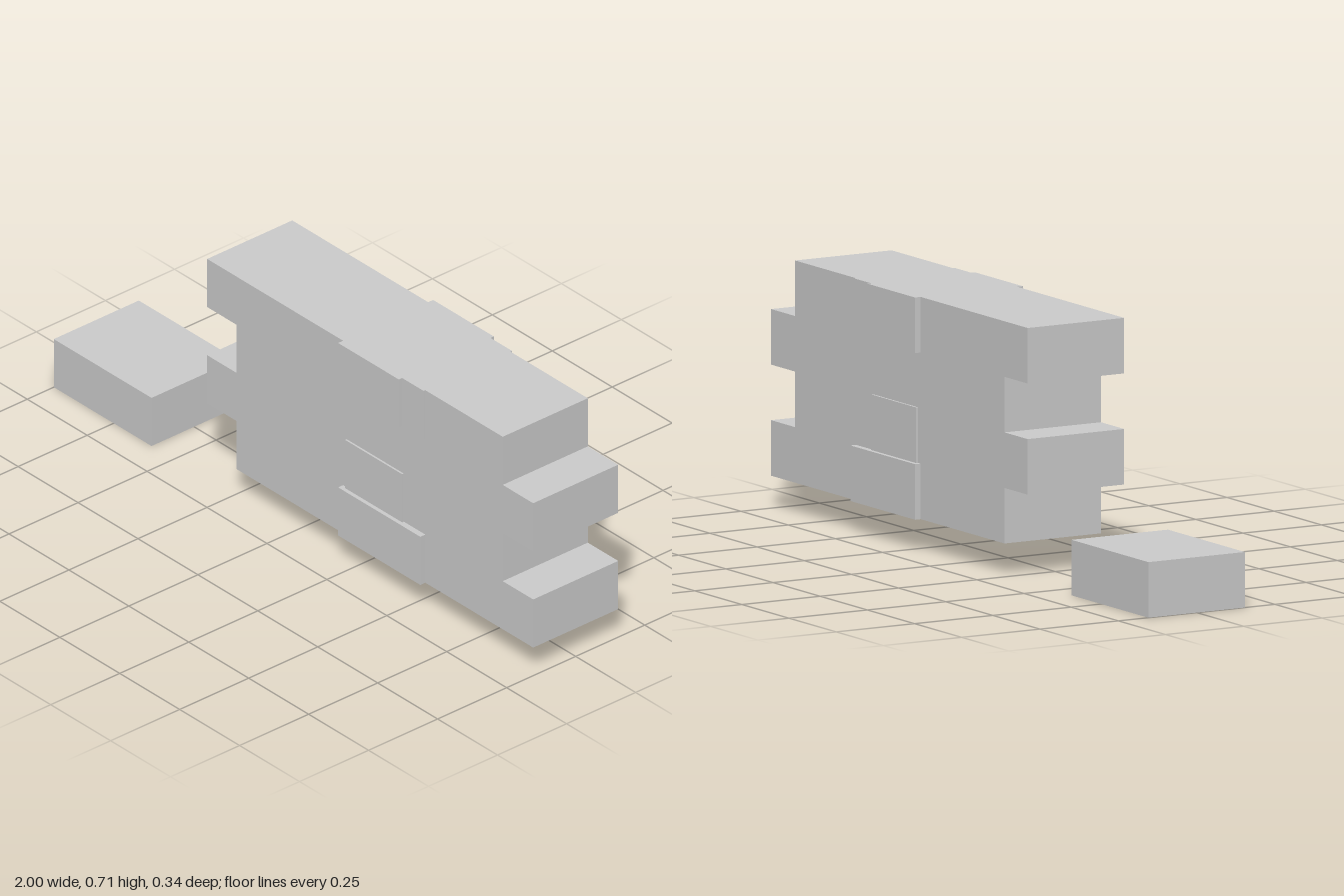
import * as THREE from 'three';

const material = new THREE.MeshStandardMaterial({ color: 0xcccccc, flatShading: true });

const ROW = 0.1543;     // height of one brick course
const BASE = 0.09;      // bottom of the wall piece
const HALF = 0.154;     // half of the wall thickness

// Box given by its limits on each axis
function block(name, [x0, x1], [y0, y1], [z0, z1]) {
  const mesh = new THREE.Mesh(new THREE.BoxGeometry(x1 - x0, y1 - y0, z1 - z0), material);
  mesh.position.set((x0 + x1) / 2, (y0 + y1) / 2, (z0 + z1) / 2);
  mesh.name = name;
  return mesh;
}

const course = (i) => [BASE + i * ROW, BASE + (i + 1) * ROW];

// Wall with toothed ends: alternate courses are shifted sideways
function createWall() {
  const left = [], right = [];
  for (let i = 0; i < 4; i++) {
    const [x0, x1] = i % 2 ? [-0.36, 0.873] : [-0.237, 1];
    for (const y of course(i)) {
      left.push(new THREE.Vector2(x0, y));
      right.push(new THREE.Vector2(x1, y));
    }
  }
  const shape = new THREE.Shape([...right, ...left.reverse()]);
  const geometry = new THREE.ExtrudeGeometry(shape, { depth: 2 * HALF, bevelEnabled: false });
  geometry.translate(0, 0, -HALF);
  const wall = new THREE.Mesh(geometry, material);
  wall.name = 'wall';
  return wall;
}

export function createModel() {
  const model = new THREE.Group();
  model.name = 'brickWall';
  model.add(createWall());

  // Raised brick faces: name, x limits, course, outer depth
  const faces = [
    ['lowerBrickFace', [0.207, 0.55], 0, 0.172],
    ['middleBrickFace', [0.222, 0.46], 1, 0.16],
    ['upperBrickFace', [0.207, 0.46], 3, 0.172],
    ['upperBrickFaceEnd', [0.46, 0.55], 3, 0.16],
  ];
  for (const [name, x, row, depth] of faces) {
    model.add(block(name + 'Front', x, course(row), [HALF, depth]));
    model.add(block(name + 'Back', x, course(row), [-depth, -HALF]));
  }

  // Single brick lying beside the wall
  model.add(block('looseBrick', [-1, -0.592], [0, ROW], [-HALF, HALF]));
  return model;
}
